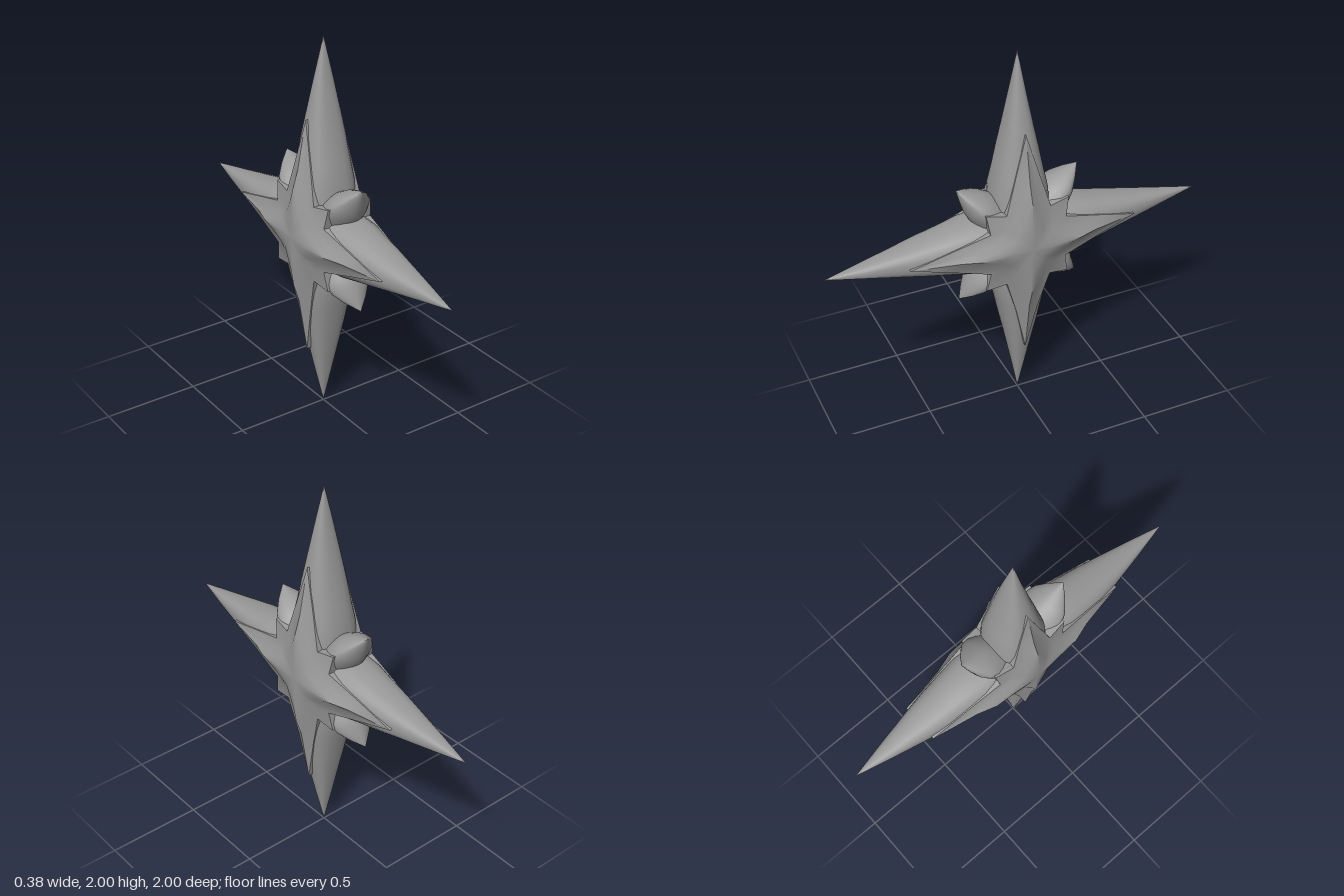
import * as THREE from 'three';
import { toCreasedNormals } from 'three/addons/utils/BufferGeometryUtils.js';

const gray = new THREE.MeshStandardMaterial({ color: 0x999999 });
gray.name = 'stone gray';

function build(points, index) {
  const g = new THREE.BufferGeometry();
  g.setAttribute('position', new THREE.Float32BufferAttribute(points, 3));
  g.setIndex(index);
  g.computeVertexNormals();
  return g;
}

// Joins rings of n points each; consecutive rings run along or outwards
function joinRings(rings, n) {
  const index = [];
  for (let i = 0; i < rings - 1; i++) {
    for (let j = 0; j < n; j++) {
      const k = (j + 1) % n;
      const a = i * n + j, b = i * n + k;
      index.push(a, a + n, b + n, a, b + n, b);
    }
  }
  return index;
}

// Spike along +y; stations are [distance, half thickness x, half width z]
function spike(stations, power, n = 24) {
  const points = [];
  const bend = (v) => Math.sign(v) * Math.pow(Math.abs(v), 2 / power);
  for (const [r, hx, hz] of stations) {
    for (let j = 0; j < n; j++) {
      const a = (j / n) * Math.PI * 2;
      points.push(hx * bend(Math.cos(a)), r, hz * bend(Math.sin(a)));
    }
  }
  return build(points, joinRings(stations.length, n));
}

// Raised star plate facing +x, from concentric star-shaped rings
function starPlate() {
  // angle in degrees, then [radius, height] on each ring
  const arm = [0, [0.13, 0.188], [0.26, 0.18], [0.36, 0.148], [0.6, 0.102], [0.6, 0.06]];
  const mid = [8.2, [0.1, 0.188], [0.19, 0.177], [0.27, 0.148], [0.404, 0.118], [0.404, 0.07]];
  const notch = [30, [0.07, 0.188], [0.13, 0.176], [0.175, 0.15], [0.231, 0.137], [0.231, 0.08]];
  const diag = [45, [0.06, 0.188], [0.115, 0.175], [0.18, 0.145], [0.308, 0.125], [0.308, 0.08]];
  const around = [];
  for (let q = 0; q < 4; q++) {
    for (const [s, key] of [[1, arm], [1, mid], [1, notch], [1, diag], [-1, notch], [-1, mid]]) {
      around.push([q * 90 + (s > 0 ? key[0] : 90 - key[0]), key]);
    }
  }
  const n = around.length, points = [];
  for (let ring = 1; ring <= 5; ring++) {
    for (const [deg, key] of around) {
      const [r, h] = key[ring];
      const a = THREE.MathUtils.degToRad(deg);
      // the lower point reaches a little further
      const stretch = deg === 180 && ring > 3 ? 1.09 : 1;
      points.push(h, r * stretch * Math.cos(a), r * Math.sin(a));
    }
  }
  const index = joinRings(5, n);
  const centre = points.length / 3;
  points.push(0.19, 0, 0);
  for (let j = 0; j < n; j++) index.push(centre, j, (j + 1) % n);
  return build(points, index);
}

export function createModel() {
  const group = new THREE.Group();
  group.name = 'fourPointedStar';
  const add = (name, geometry, angle) => {
    const mesh = new THREE.Mesh(geometry, gray);
    mesh.name = name;
    mesh.position.y = 1;
    mesh.rotation.x = angle;
    group.add(mesh);
    return mesh;
  };

  // Four long arms
  const armGeometry = spike([
    [0, 0.15, 0.15], [0.15, 0.15, 0.15], [0.28, 0.143, 0.14], [0.38, 0.125, 0.118],
    [0.5, 0.107, 0.094], [0.6, 0.088, 0.073], [0.8, 0.046, 0.035], [1, 0, 0],
  ], 2.5);
  ['topArm', 'frontArm', 'bottomArm', 'backArm'].forEach((name, i) =>
    add(name, armGeometry, i * Math.PI / 2));

  // Four short petals between the arms
  const petalGeometry = spike([
    [0, 0.12, 0.1], [0.2, 0.125, 0.1], [0.28, 0.122, 0.083],
    [0.33, 0.104, 0.067], [0.39, 0.06, 0.036], [0.453, 0, 0],
  ], 1.7);
  ['upperFrontPetal', 'lowerFrontPetal', 'lowerBackPetal', 'upperBackPetal'].forEach((name, i) =>
    add(name, petalGeometry, Math.PI / 4 + i * Math.PI / 2));

  // Raised star plates on both broad faces
  const plateGeometry = toCreasedNormals(starPlate(), 0.7);
  add('leftStarPlate', plateGeometry, 0);
  add('rightStarPlate', plateGeometry, 0).rotation.y = Math.PI;

  return group;
}
